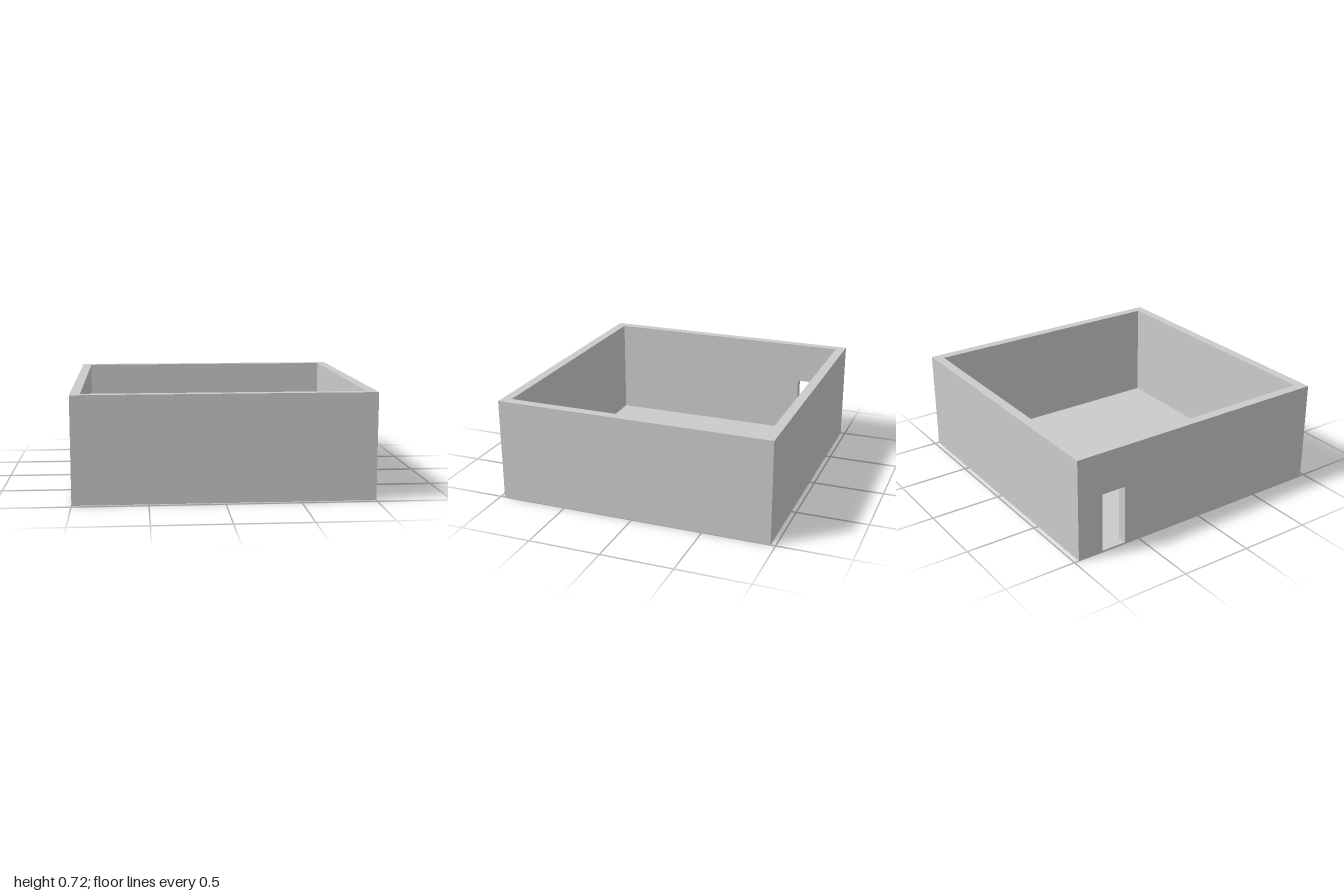
import * as THREE from 'three';

const HALF_X = 1, HALF_Z = 0.967, HEIGHT = 0.72, WALL = 0.067, FLOOR = 0.008;
const DOOR = { z0: -0.785, z1: -0.61, top: 0.425 };

export function createModel() {
  const group = new THREE.Group();
  group.name = 'roofless room';
  const material = new THREE.MeshStandardMaterial({ color: 0xcccccc, flatShading: true });

  const add = (name, geometry, x, y, z) => {
    const mesh = new THREE.Mesh(geometry, material);
    mesh.name = name;
    mesh.position.set(x, y, z);
    group.add(mesh);
  };

  // thin floor slab under the whole room
  add('floor', new THREE.BoxGeometry(2 * HALF_X, FLOOR, 2 * HALF_Z), 0, FLOOR / 2, 0);

  // solid walls: front and back run full width, the side walls fit between them
  const wallHeight = HEIGHT - FLOOR, midY = FLOOR + wallHeight / 2;
  const innerZ = HALF_Z - WALL;
  for (const [name, side] of [['frontWall', 1], ['backWall', -1]]) {
    add(name, new THREE.BoxGeometry(2 * HALF_X, wallHeight, WALL), 0, midY, side * (HALF_Z - WALL / 2));
  }
  add('leftWall', new THREE.BoxGeometry(WALL, wallHeight, 2 * innerZ), HALF_X - WALL / 2, midY, 0);

  // side wall with a doorway near the back corner, outlined in z and y
  const outline = new THREE.Shape([
    [-innerZ, FLOOR], [DOOR.z0, FLOOR], [DOOR.z0, DOOR.top], [DOOR.z1, DOOR.top],
    [DOOR.z1, FLOOR], [innerZ, FLOOR], [innerZ, HEIGHT], [-innerZ, HEIGHT],
  ].map(([z, y]) => new THREE.Vector2(z, y)));
  const doorWall = new THREE.ExtrudeGeometry(outline, { depth: WALL, bevelEnabled: false });
  doorWall.rotateY(-Math.PI / 2);
  add('rightWallWithDoorway', doorWall, -HALF_X + WALL, 0, 0);

  return group;
}
